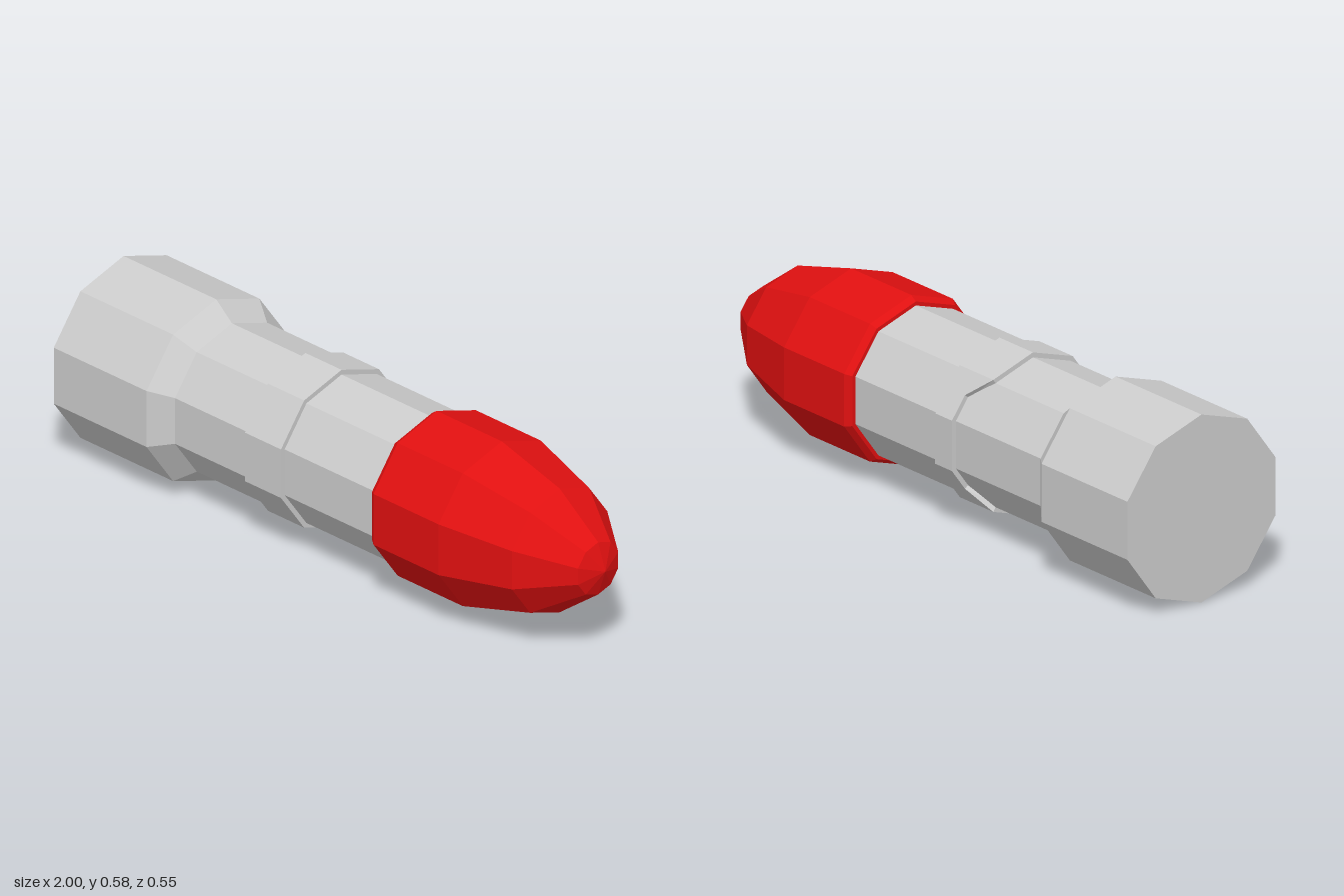
import * as THREE from 'three';

const SIDES = 10;
const AXIS_Y = 0.288;

// Faceted body of revolution along x, from [x, radius] pairs
function turned(name, profile, color) {
  const points = profile.map(([x, r]) => new THREE.Vector2(r, x));
  const geometry = new THREE.LatheGeometry(points, SIDES, Math.PI / 2);
  geometry.rotateZ(-Math.PI / 2);
  const mesh = new THREE.Mesh(geometry, new THREE.MeshStandardMaterial({ color, flatShading: true }));
  mesh.name = name;
  return mesh;
}

// Raised band with a slant-ended notch cut into its rear (-z) side
function clampBand() {
  const x0 = -0.245, x1 = -0.095, notchX = -0.17, inner = 0.225, outer = 0.25;
  const corner = (k) => {
    const a = (k / SIDES) * Math.PI * 2;
    return [Math.cos(a), Math.sin(a)]; // unit y, z
  };
  // Stations around the band: position on the decagon and start of the band there
  const stations = [];
  for (let k = 0; k < SIDES; k++) {
    stations.push({ p: corner(k), x: k === 7 || k === 8 ? notchX : x0 });
    if (k === 6 || k === 8) {
      const [a, b] = [corner(k), corner(k + 1)];
      const t = k === 6 ? 0.47 : 0.53;
      stations.push({ p: [a[0] + (b[0] - a[0]) * t, a[1] + (b[1] - a[1]) * t], x: notchX });
    }
  }
  const section = ({ p, x }) => [[x, inner], [x, outer], [x1, outer], [x1, inner]]
    .map(([px, r]) => [px, p[0] * r, p[1] * r]);
  const positions = [];
  stations.forEach((s, i) => {
    const a = section(s), b = section(stations[(i + 1) % stations.length]);
    for (let j = 0; j < 3; j++) {
      positions.push(...a[j], ...a[j + 1], ...b[j + 1], ...a[j], ...b[j + 1], ...b[j]);
    }
  });
  const geometry = new THREE.BufferGeometry();
  geometry.setAttribute('position', new THREE.Float32BufferAttribute(positions, 3));
  geometry.computeVertexNormals();
  const mesh = new THREE.Mesh(geometry, new THREE.MeshStandardMaterial({
    color: 0xcccccc, flatShading: true, side: THREE.DoubleSide,
  }));
  mesh.name = 'clampBand';
  return mesh;
}

export function createModel() {
  const model = new THREE.Group();
  model.name = 'roundedNoseCylinder';

  // Wide closed base stepping down to the slim barrel
  model.add(turned('body', [
    [-1, 0], [-1, 0.288], [-0.615, 0.288], [-0.55, 0.235], [0.3, 0.235],
  ], 0xcccccc));

  model.add(clampBand());

  // Red nose with a small bevel at its rim
  model.add(turned('nose', [
    [0.28, 0.22], [0.28, 0.247], [0.3, 0.261], [0.57, 0.261], [0.81, 0.197], [0.97, 0.083], [1, 0],
  ], 0xe01010));

  model.children.forEach((part) => { part.position.y = AXIS_Y; });
  return model;
}
